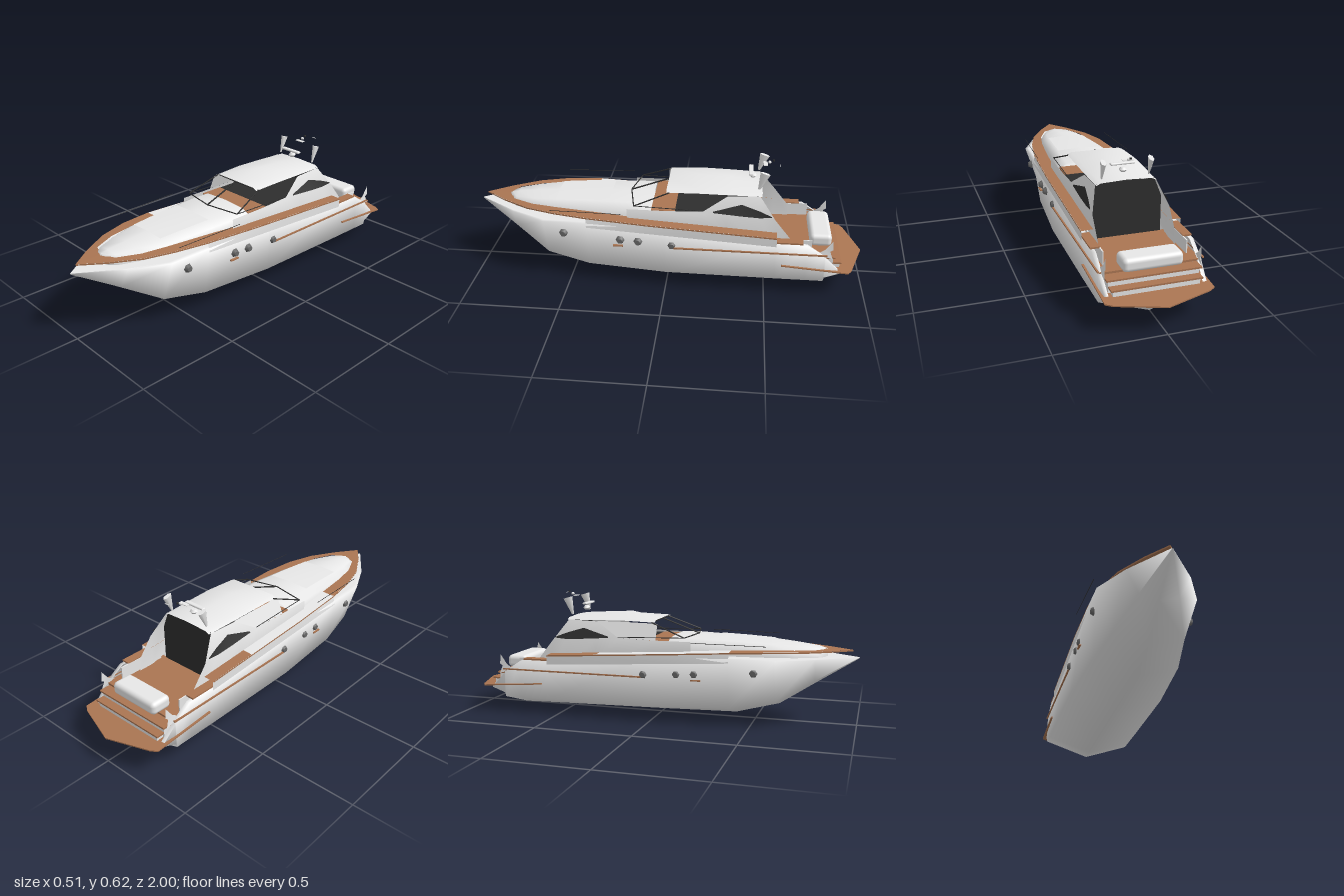
import * as THREE from 'three';
import { toCreasedNormals } from 'three/addons/utils/BufferGeometryUtils.js';
import { RoundedBoxGeometry } from 'three/addons/geometries/RoundedBoxGeometry.js';

const material = (name, color) => {
  const m = new THREE.MeshStandardMaterial({ color, side: THREE.DoubleSide });
  m.name = name;
  return m;
};

// Surface through a list of cross-sections, each a list of [x, y, z]
function loft(sections, crease = 0.7) {
  const n = sections[0].length, index = [];
  for (let i = 0; i < sections.length - 1; i++)
    for (let j = 0; j < n - 1; j++) {
      const a = i * n + j, b = a + n;
      index.push(a, b, a + 1, b, b + 1, a + 1);
    }
  const g = new THREE.BufferGeometry();
  g.setAttribute('position', new THREE.Float32BufferAttribute(sections.flat(2), 3));
  g.setIndex(index);
  return toCreasedNormals(g, crease);
}

// Half section mirrored into a full one, the last point lying on the centre line
const mirrored = (half) => [...half, ...half.slice(0, -1).reverse().map(([x, y, z]) => [-x, y, z])];

export function createModel() {
  const boat = new THREE.Group();
  const white = material('white gelcoat', 0xf2f2f2);
  const teak = material('teak', 0xaa7552);
  const dark = material('dark glass', 0x2e2e2e);
  const grey = material('porthole grey', 0x686868);

  const add = (name, geometry, mat, x = 0, y = 0, z = 0) => {
    const mesh = new THREE.Mesh(geometry, mat);
    mesh.name = name;
    mesh.position.set(x, y, z);
    boat.add(mesh);
    return mesh;
  };
  const box = (name, mat, w, h, d, x, y, z) => add(name, new THREE.BoxGeometry(w, h, d), mat, x, y, z);
  const bar = (name, mat, from, to, r) => {
    const a = new THREE.Vector3(...from), b = new THREE.Vector3(...to);
    return add(name, new THREE.TubeGeometry(new THREE.LineCurve3(a, b), 1, r, 5), mat);
  };

  // Hull: z, keel y, chine x, chine y, sheer x, sheer y; a narrow lip rounds the sheer
  const hull = [
    [1, 0.335, 0.001, 0.337, 0.002, 0.34], [0.8, 0.205, 0.09, 0.23, 0.145, 0.34],
    [0.62, 0.085, 0.165, 0.125, 0.235, 0.34], [0.4, 0.025, 0.205, 0.09, 0.24, 0.34],
    [0, 0.015, 0.235, 0.08, 0.24, 0.33], [-0.55, 0.005, 0.24, 0.08, 0.24, 0.285],
    [-0.7, 0.002, 0.24, 0.08, 0.24, 0.275], [-0.79, 0, 0.24, 0.08, 0.24, 0.215],
    [-0.795, 0.085, 0.24, 0.1, 0.24, 0.205], [-0.87, 0.12, 0.232, 0.123, 0.235, 0.132]];
  add('hull', loft(hull.map(([z, k, cx, cy, sx, sy]) =>
    mirrored([[sx * 0.92, sy + 0.001, z], [sx, sy, z], [cx, cy, z], [0, k, z]])), 2), white);
  add('hullTop', loft(hull.slice(0, 5).map(([z, , , , sx, sy]) => [[sx, sy, z], [-sx, sy, z]])), white);

  // Side decks meeting at the bow: outer x, z, inner x, z
  const deckY = (z) => 0.375 - 0.06 * Math.max(0, 0.5 - z);
  const deck = [
    [0, 0.97, 0, 0.84], [0.08, 0.86, 0.07, 0.81], [0.16, 0.72, 0.12, 0.7], [0.205, 0.57, 0.145, 0.57],
    [0.23, 0.4, 0.16, 0.4], [0.24, 0.1, 0.175, 0.1], [0.241, -0.28, 0.182, -0.28], [0.242, -0.55, 0.185, -0.55]];
  for (const s of [1, -1]) {
    const deckPiece = (mat, from, to) => add('sideDeck', loft(deck.slice(from, to).map(([ox, oz, ix, iz]) =>
      [[s * ox, deckY(oz), oz], [s * ix, deckY(iz) + 0.002, iz]])), mat);
    deckPiece(teak, 0, 5);
    deckPiece(s > 0 ? teak : white, 4, 7);
    deckPiece(teak, 6, 8);
    add('deckEdge', loft(deck.map(([ox, z]) =>
      [[s * (ox + 0.001), deckY(z), z], [s * (ox + 0.001), deckY(z) - 0.007, z]])), teak);
    add('bulwark', loft(deck.slice(4).map(([ox, z]) =>
      [[s * ox, deckY(z) - 0.002, z], [s * 0.24, deckY(z) - 0.05, z]])), white);
    box('rubRail', teak, 0.008, 0.007, 0.76, s * 0.243, 0.228, -0.42);
    box('forwardRubRail', teak, 0.012, 0.006, 0.05, s * 0.24, 0.226, 0.24);
    bar('bowRail', dark, [s * 0.255, 0.412, 0.22], [s * 0.24, 0.408, 0.58], 0.0014);
    // Portholes
    for (const [z, y, x] of [[0.52, 0.275, 0.232], [0.23, 0.255, 0.24], [0.14, 0.25, 0.24], [-0.03, 0.24, 0.242]])
      add('porthole', new THREE.CylinderGeometry(0.014, 0.023, 0.018, 6).rotateZ(-s * Math.PI / 2), grey, s * x, y, z);
  }

  // Foredeck trunk: z, half width, top y
  const trunk = [[0.85, 0.001, 0.376], [0.835, 0.045, 0.382], [0.8, 0.08, 0.388], [0.7, 0.12, 0.397], [0.58, 0.145, 0.407],
    [0.44, 0.158, 0.414], [0.3, 0.168, 0.418], [0.18, 0.178, 0.422], [0.08, 0.182, 0.418]];
  add('foredeckTrunk', loft(trunk.map(([z, w, y]) => mirrored(
    [[w, 0.33, z], [w * 0.97, y - 0.028, z], [w * 0.72, y - 0.006, z], [0, y, z]])), 1.6), white);
  add('foredeckHatch', loft(trunk.slice(4, 7).map(([z, w, y]) => mirrored(
    [[w * 0.71, y - 0.002, z], [0, y + 0.004, z]])), 1), white);
  box('dashFloor', teak, 0.345, 0.01, 0.12, 0, 0.395, 0.02);
  box('saloonFloor', dark, 0.345, 0.01, 0.4, 0, 0.393, -0.24);

  // Cabin sides leaning inward above the coaming
  const sideX = (y) => 0.186 - Math.max(0, y - 0.4) * 0.42;
  const walls = [[0.2, 0.33, 0.405], [0, 0.33, 0.405], [-0.18, 0.31, 0.41], [-0.3, 0.3, 0.485],
    [-0.46, 0.24, 0.49], [-0.54, 0.22, 0.38], [-0.62, 0.22, 0.28]];
  for (const s of [1, -1]) {
    const row = (y, z, out = 0) => [s * (sideX(y) + out), y, z];
    add('cabinSide', loft(walls.map(([z, b, t]) =>
      [row(b, z), row(Math.min(t, 0.4), z), row(t, z)])), white);
    add('sideWindow', loft([[-0.23, 0.408, 0.414], [-0.37, 0.398, 0.452], [-0.46, 0.393, 0.425], [-0.52, 0.398, 0.402]]
      .map(([z, b, t]) => [row(b, z, 0.005), row(t, z, 0.005)])), dark);
    // Right side is closed between the windscreen and the cabin side
    if (s < 0) add('sidePanel', loft([[0.02, 0.405, 0.485], [-0.18, 0.41, 0.488], [-0.3, 0.484, 0.488]]
      .map(([z, b, t]) => [row(b, z), row(t, z)])), white);
    // Windscreen and side frames
    const foot = [s * 0.18, 0.423, 0.165], head = [s * 0.15, 0.49, -0.01];
    bar('windscreenPillar', dark, foot, head, 0.0035);
    bar('windscreenSill', dark, foot, [0, 0.426, 0.2], 0.003);
    bar('windscreenHeader', dark, head, [0, 0.497, 0.005], 0.003);
    bar('sideFrame', dark, foot, [s * 0.182, 0.413, -0.18], 0.002);
  }
  bar('windscreenMullion', dark, [0, 0.426, 0.2], [0, 0.497, 0.005], 0.004);

  // Roof and dark aft bulkhead
  add('roof', loft([[0.005, 0.15, 0.49, 0.5], [-0.16, 0.155, 0.495, 0.529], [-0.32, 0.152, 0.492, 0.52],
    [-0.47, 0.145, 0.488, 0.503]].map(([z, w, e, t]) =>
    mirrored([[w, e, z], [w * 0.85, e + 0.01, z], [0, t, z]])), 1.6), white);
  add('aftBulkhead', loft([[0.18, 0.22], [0.18, 0.4], [0.143, 0.492]].map(([x, y]) =>
    [[x, y, -0.455], [-x, y, -0.455]])), dark);

  // Aft cockpit
  box('cockpitFloor', teak, 0.47, 0.01, 0.34, 0, 0.215, -0.62);
  add('cockpitSofa', new RoundedBoxGeometry(0.28, 0.065, 0.11, 3, 0.022), white, 0, 0.25, -0.775);
  box('transomStep', white, 0.42, 0.09, 0.05, 0, 0.155, -0.81);
  box('transomTread', teak, 0.44, 0.008, 0.06, 0, 0.203, -0.815);
  box('lowerStep', white, 0.4, 0.04, 0.04, 0, 0.15, -0.85);
  box('lowerTread', teak, 0.42, 0.008, 0.045, 0, 0.17, -0.855);
  for (const s of [1, -1]) {
    box('coamingTop', teak, 0.045, 0.008, 0.16, s * 0.218, 0.285, -0.6);
    box('coamingInner', white, 0.006, 0.07, 0.25, s * 0.197, 0.25, -0.6);
    // Stern quarter wing
    add('quarterWing', loft([[[s * 0.225, 0.225, -0.75], [s * 0.225, 0.2, -0.83]],
      [[s * 0.22, 0.25, -0.79], [s * 0.22, 0.24, -0.815]],
      [[s * 0.22, 0.3, -0.825], [s * 0.22, 0.25, -0.83]]]), white);
  }

  // Swim platform, pointed aft and sloping gently
  const plan = new THREE.Shape([[-0.25, 0.58], [0.25, 0.58], [0.25, 0.91], [0.22, 0.93], [0, 1], [-0.22, 0.93], [-0.25, 0.91]]
    .map(([x, y]) => new THREE.Vector2(x, y)));
  const platform = new THREE.ExtrudeGeometry(plan, { depth: 0.006, bevelEnabled: false }).rotateX(-Math.PI / 2);
  const p = platform.attributes.position;
  for (let i = 0; i < p.count; i++) p.setY(i, p.getY(i) + 0.157 + (p.getZ(i) + 0.58) * 0.075);
  platform.computeVertexNormals();
  add('swimPlatform', platform, teak);

  // Roof equipment
  add('radarDome', new THREE.CylinderGeometry(0.012, 0.02, 0.011, 8), white, 0, 0.543, -0.42);
  add('radarDomeBase', new THREE.CylinderGeometry(0.02, 0.011, 0.011, 8), white, 0, 0.532, -0.42);
  add('radarScanner', new RoundedBoxGeometry(0.12, 0.011, 0.024, 2, 0.005), white, 0, 0.564, -0.41);
  add('mastLight', new THREE.SphereGeometry(0.009, 6, 4).scale(1.3, 0.8, 1), white, 0, 0.611, -0.5);
  add('mastLamp', new THREE.CylinderGeometry(0.005, 0.005, 0.008, 6), dark, 0, 0.621, -0.52);
  box('mastShelf', white, 0.05, 0.003, 0.02, 0, 0.602, -0.48);
  box('mastAerial', white, 0.025, 0.002, 0.004, 0.04, 0.613, -0.55);
  for (const s of [1, -1]) {
    const fin = add('antennaFin', new THREE.CylinderGeometry(0.013, 0.003, 0.09, 6).scale(1, 1, 2), white, s * 0.115, 0.557, -0.465);
    fin.rotation.x = -0.3;
  }
  return boat;
}
